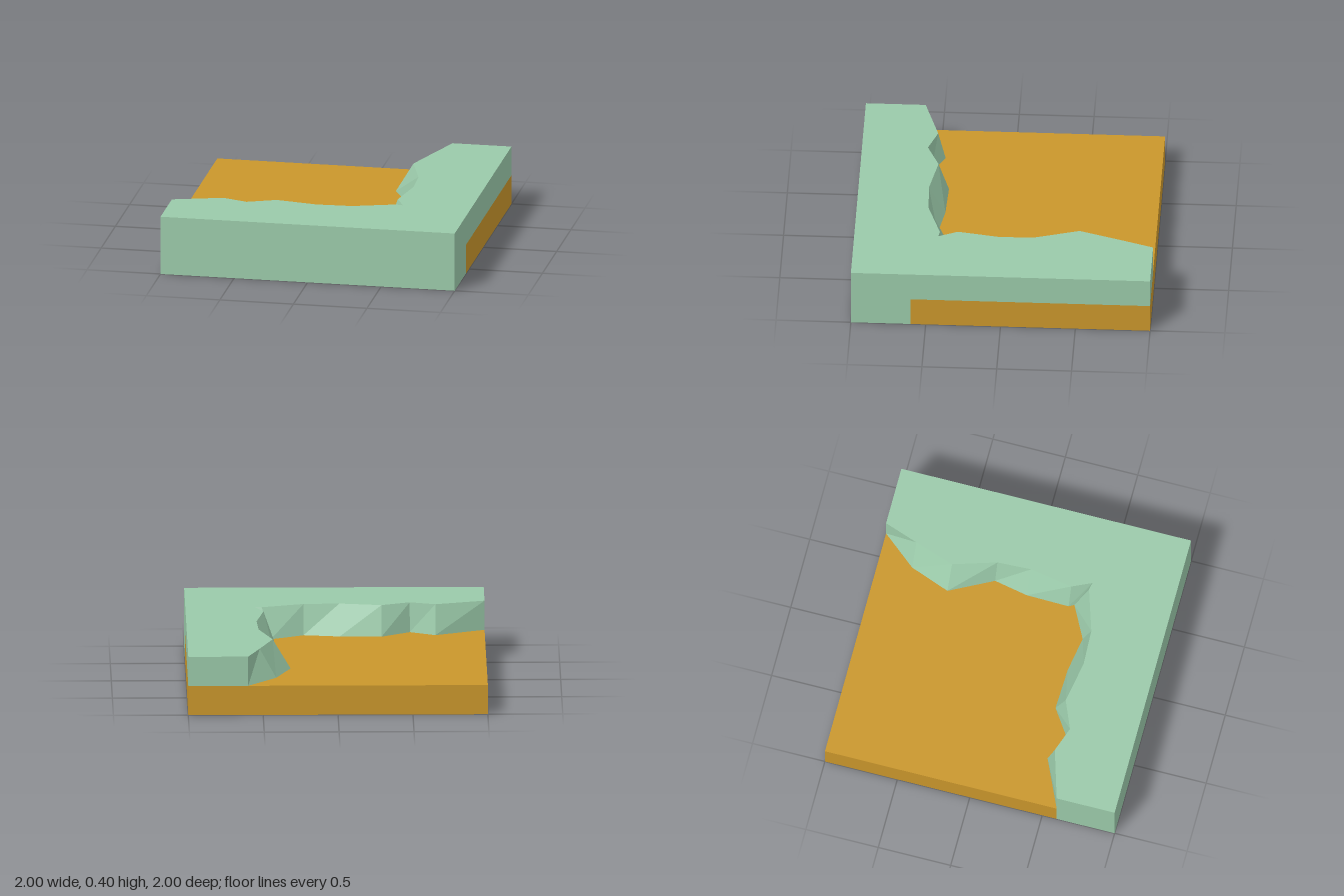
import * as THREE from 'three';

const BASE_Y = 0.2, TOP_Y = 0.4;

// Cliff stations from the back edge to the left edge: [toe x, toe z, rim x, rim z]
const cliff = [
  [0.6, -1, 0.6, -1],
  [0.41, -0.77, 0.52, -0.77],
  [0.31, -0.5, 0.43, -0.5],
  [0.46, -0.21, 0.52, -0.21],
  [0.415, 0.02, 0.53, 0.02],
  [0.41, 0.31, 0.48, 0.31],
  [0.43, 0.345, 0.54, 0.44],
  [0.43, 0.345, 0.49, 0.43],
  [0.21, 0.46, 0.21, 0.52],
  [-0.03, 0.42, -0.03, 0.53],
  [-0.31, 0.41, -0.31, 0.48],
  [-0.5, 0.54, -0.5, 0.56],
  [-0.67, 0.45, -0.67, 0.5],
  [-1, 0.6, -1, 0.6],
];
// Straight outer corners that close the plateau outline
const outer = [[-1, 1, -1, 1], [1, 1, 1, 1], [1, -1, 1, -1]];

// Walls joining the toe outline to the rim outline, one flat quad per edge
function wallGeometry(outline) {
  const pos = [];
  outline.forEach((a, i) => {
    const b = outline[(i + 1) % outline.length];
    const lowA = [a[0], BASE_Y, a[1]], lowB = [b[0], BASE_Y, b[1]];
    const topA = [a[2], TOP_Y, a[3]], topB = [b[2], TOP_Y, b[3]];
    if (a[0] !== b[0] || a[1] !== b[1]) pos.push(...lowA, ...lowB, ...topB);
    pos.push(...lowA, ...topB, ...topA);
  });
  const g = new THREE.BufferGeometry();
  g.setAttribute('position', new THREE.Float32BufferAttribute(pos, 3));
  g.computeVertexNormals();
  return g;
}

export function createModel() {
  const model = new THREE.Group();
  model.name = 'terrainTile';
  const green = new THREE.MeshStandardMaterial({ color: 0x9ac9a9 });
  green.name = 'grassGreen';
  const ochre = new THREE.MeshStandardMaterial({ color: 0xc9962b });
  ochre.name = 'earthOchre';

  const add = (name, geometry, material) => {
    const mesh = new THREE.Mesh(geometry, material);
    mesh.name = name;
    model.add(mesh);
  };

  // Low ground and the front strip beside it
  add('lowGround', new THREE.BoxGeometry(2, BASE_Y, 1.6).translate(0, BASE_Y / 2, -0.2), ochre);
  add('frontStrip', new THREE.BoxGeometry(2, BASE_Y, 0.4).translate(0, BASE_Y / 2, 0.8), green);

  // Raised corner plateau: walls, then flat top
  const outline = [...cliff, ...outer];
  add('plateauWalls', wallGeometry(outline), green);
  const rim = new THREE.Shape(outline.map(p => new THREE.Vector2(p[2], -p[3])));
  add('plateauTop', new THREE.ShapeGeometry(rim).rotateX(-Math.PI / 2).translate(0, TOP_Y, 0), green);

  return model;
}
